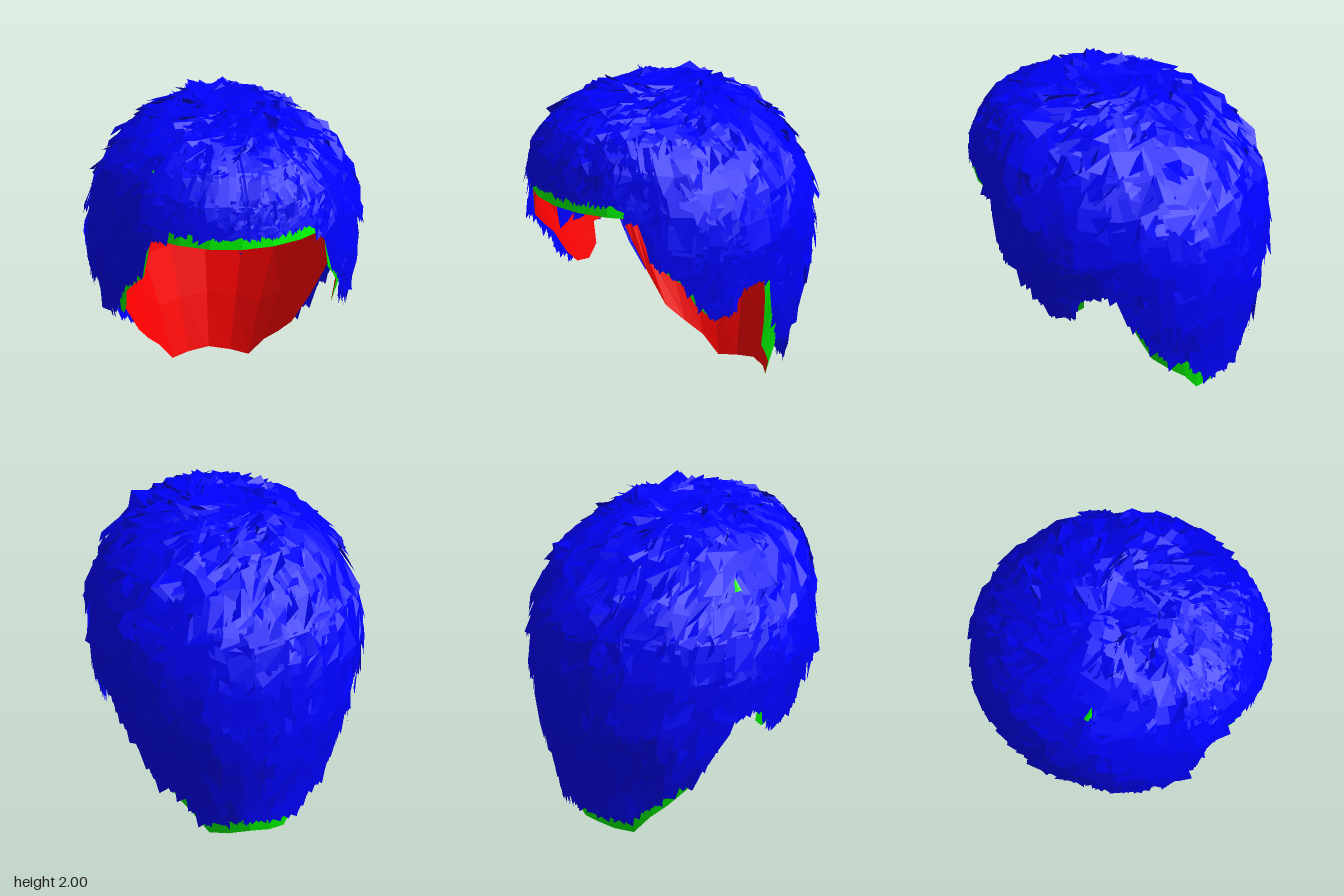
import * as THREE from 'three';

// Head sections from crown to nape: [y, half width, front z, back z]
const SECTIONS = [
  [1.935, 0, 0.06, 0.06], [1.91, 0.17, 0.3, -0.15], [1.86, 0.32, 0.54, -0.31], [1.75, 0.5, 0.76, -0.48],
  [1.58, 0.66, 0.87, -0.67], [1.36, 0.755, 0.91, -0.81], [1.1, 0.78, 0.9, -0.85], [0.85, 0.72, 0.85, -0.84],
  [0.6, 0.65, 0.75, -0.79], [0.3, 0.5, 0.47, -0.7], [0, 0.38, 0.19, -0.62],
];
// Hairline of one half: [angle from the front, y]
const RIM = [
  [0, 1.33], [0.26, 1.33], [0.52, 1.33], [0.77, 1.33], [0.82, 1.06], [0.95, 0.97], [1.08, 0.88], [1.16, 0.74],
  [1.25, 0.66], [1.39, 0.65], [1.5, 0.72], [1.53, 0.85], [1.68, 0.87], [1.77, 0.82], [1.82, 0.68],
  [1.87, 0.5], [1.93, 0.3], [2.1, 0.2], [2.29, 0.12], [2.49, 0.005], [2.8, 0.015], [Math.PI, 0.03],
];

let seed = 7;
function rand(a = 0, b = 1) {
  seed = (seed * 16807) % 2147483647;
  return a + (b - a) * seed / 2147483647;
}

// Linear lookup in [key, value] pairs
function lookup(table, k) {
  let i = 1;
  while (i < table.length - 1 && k > table[i][0]) i++;
  const [a, b] = [table[i - 1], table[i]];
  return a[1] + (b[1] - a[1]) * THREE.MathUtils.clamp((k - a[0]) / (b[0] - a[0]), 0, 1);
}

// Row number of the hairline at an angle
const ROW_OF_Y = SECTIONS.map((r, i) => [r[0], i]).reverse();
function rimRow(phi) {
  const a = Math.abs(Math.atan2(Math.sin(phi), Math.cos(phi)));
  return lookup(ROW_OF_Y, lookup(RIM, a));
}

// Point of the scalp at an angle and a row, pushed out by a lift
function headPoint(phi, row, lift = 0) {
  const i = Math.min(Math.floor(row), SECTIONS.length - 2);
  const f = row - i;
  const [y, w, front, back] = SECTIONS[i].map((v, k) => v + (SECTIONS[i + 1][k] - v) * f);
  const p = new THREE.Vector3(w * Math.sin(phi), y, (front + back) / 2 + (front - back) / 2 * Math.cos(phi));
  const out = new THREE.Vector3(p.x, Math.max(0, p.y - 1.05) * 0.9, p.z).normalize();
  return p.addScaledVector(out, lift);
}

function geometryFrom(positions, index) {
  const g = new THREE.BufferGeometry();
  g.setAttribute('position', new THREE.Float32BufferAttribute(positions, 3));
  g.setIndex(index);
  g.computeVertexNormals();
  return g;
}

// Cap surface down to the hairline; the lining faces inwards
function capGeometry(lift, inward) {
  const half = RIM.map((r) => r[0]);
  const angles = [...half, ...half.slice(0, -1).reverse().map((a) => 2 * Math.PI - a)];
  const rows = 9, pos = [], idx = [];
  angles.forEach((phi) => {
    const end = rimRow(phi);
    for (let j = 0; j <= rows; j++) {
      const rimLift = j === rows ? 0 : lift;
      pos.push(...headPoint(phi, end * j / rows, rimLift).toArray());
    }
  });
  for (let i = 0; i < angles.length - 1; i++) {
    for (let j = 0; j < rows; j++) {
      const a = i * (rows + 1) + j, b = a + 1, c = a + rows + 1, d = c + 1;
      if (inward) idx.push(a, c, b, b, c, d);
      else idx.push(a, b, c, b, d, c);
    }
  }
  return geometryFrom(pos, idx);
}

// Overlapping hair cards combed from the crown to the hairline
function hairGeometry(count) {
  const pos = [], idx = [], steps = 3;
  for (let n = 0; n < count; n++) {
    const phi = rand(0, 2 * Math.PI);
    const width = rand(0.09, 0.22);
    const c = Math.cos(phi);
    const drift = rand(-0.13, 0.13);
    // Shortest hairline under the whole width of the card
    let limit = Infinity;
    for (let k = -2; k <= 2; k++) limit = Math.min(limit, rimRow(phi + drift + k * width * 0.27));
    const gap = c > 0.7 ? rand(0.33, 0.75) : c < -0.3 ? rand(0.35, 0.7) : rand(-0.05, 0.2);
    const end = limit - gap;
    const atRim = n % 4 === 0;
    const tip = atRim ? end : Math.min(end, 0.7 + rand() ** 0.75 * 9.5);
    const root = Math.max(0, tip - rand(1.1, 2.2));
    // Some roots are set deep and show through the lining
    const deep = !atRim && n % 5 === 0 && tip > 4.5 && tip < 8.2;
    const rootLift = deep ? rand(-0.08, -0.03) : rand(-0.015, 0.03);
    const tipLift = rand(0.02, 0.085) * (c > 0.5 ? 0.45 : tip < 3 ? 0.75 : 1);
    const side = new THREE.Vector3(Math.cos(phi), rand(-0.25, 0.25), -Math.sin(phi));
    const base = pos.length / 3;
    for (let j = 0; j <= steps; j++) {
      const t = j / steps;
      const row = root + (tip - root) * t;
      const p = headPoint(phi + drift * t, row, rootLift + (tipLift - rootLift) * t);
      const w = width * (j === steps ? rand(0.2, 0.5) : 0.5);
      const fray = j === steps ? rand(-0.05, 0.05) : 0;
      const left = p.clone().addScaledVector(side, -w), right = p.clone().addScaledVector(side, w);
      left.y += fray;
      right.y -= fray;
      pos.push(...left.toArray(), ...right.toArray());
      if (j < steps) {
        const a = base + j * 2;
        idx.push(a, a + 2, a + 1, a + 1, a + 2, a + 3);
      }
    }
  }
  return geometryFrom(pos, idx);
}

export function createModel() {
  seed = 7;
  const group = new THREE.Group();
  group.name = 'wig';
  const add = (name, geometry, color, side = THREE.FrontSide) => {
    const mesh = new THREE.Mesh(geometry, new THREE.MeshStandardMaterial({ color, side, flatShading: true }));
    mesh.name = name;
    group.add(mesh);
  };
  add('scalpCap', capGeometry(0.005, false), 0x00ff00);
  add('capLining', capGeometry(-0.012, true), 0xff0000);
  add('hairCards', hairGeometry(2200), 0x0000ff, THREE.DoubleSide);
  return group;
}
